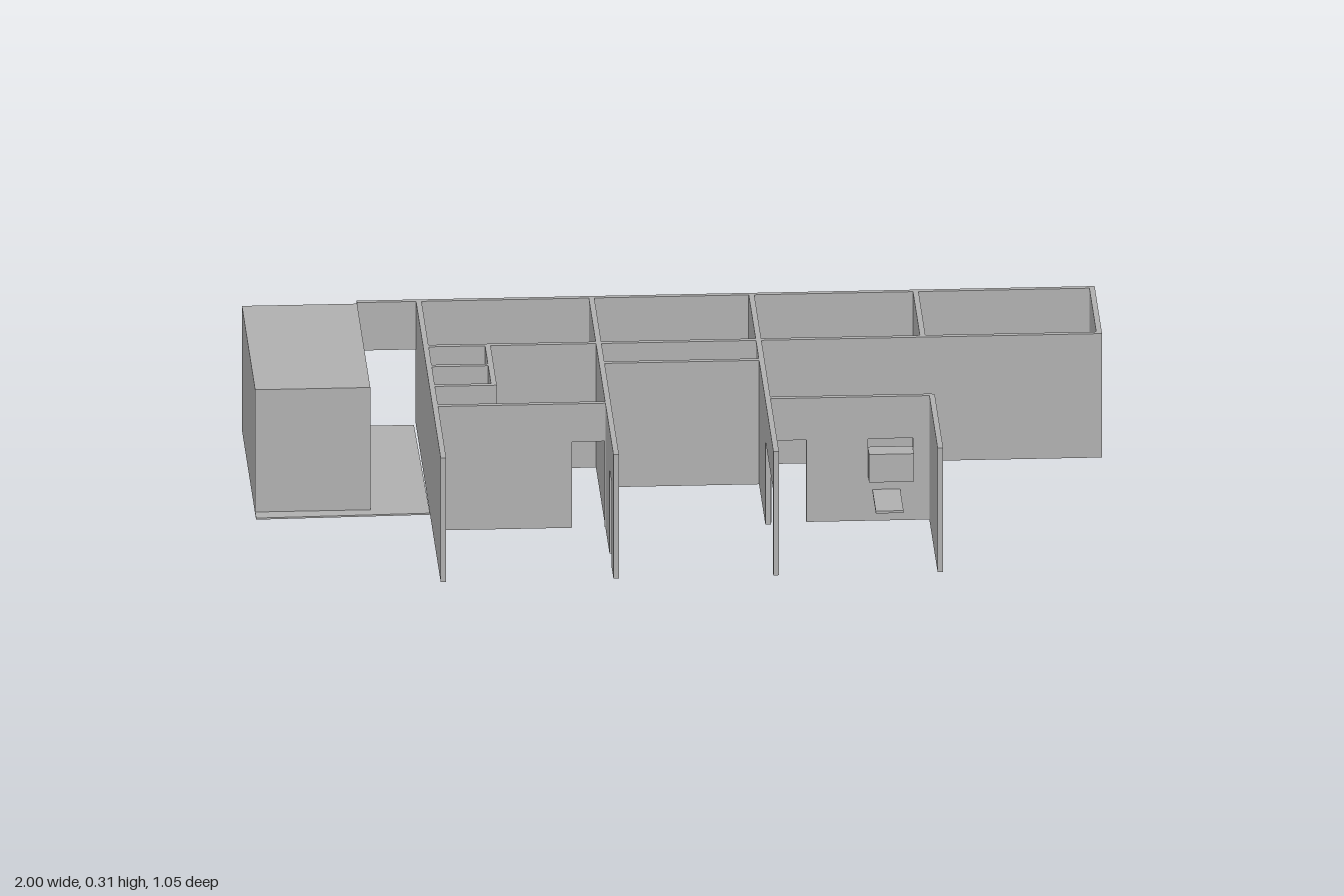
import * as THREE from 'three';

const H = 0.31;   // wall height
const T = 0.013;  // wall thickness
const DOOR = 0.21;

export function createModel() {
  const model = new THREE.Group();
  const plaster = new THREE.MeshStandardMaterial({ color: 0xb0b0b0 });
  plaster.name = 'plaster grey';

  const box = (name, x0, x1, y0, y1, z0, z1) => {
    const m = new THREE.Mesh(new THREE.BoxGeometry(x1 - x0, y1 - y0, z1 - z0), plaster);
    m.position.set((x0 + x1) / 2, (y0 + y1) / 2, (z0 + z1) / 2);
    m.name = name;
    model.add(m);
  };

  // Wall from a to b at fixed position p; openings are [from, to, bottom, top]
  const wall = (name, axis, p, a, b, openings = []) => {
    const s = new THREE.Shape();
    s.moveTo(a, 0);
    for (const [u0, u1, v0, v1] of openings) {
      if (v0 > 0) continue;
      s.lineTo(u0, 0); s.lineTo(u0, v1); s.lineTo(u1, v1); s.lineTo(u1, 0);
    }
    s.lineTo(b, 0); s.lineTo(b, H); s.lineTo(a, H);
    s.closePath();
    for (const [u0, u1, v0, v1] of openings) {
      if (v0 <= 0) continue;
      const hole = new THREE.Path();
      hole.moveTo(u0, v0); hole.lineTo(u0, v1); hole.lineTo(u1, v1); hole.lineTo(u1, v0);
      hole.closePath();
      s.holes.push(hole);
    }
    const g = new THREE.ExtrudeGeometry(s, { depth: T, bevelEnabled: false });
    g.translate(0, 0, -T / 2);
    if (axis === 'z') g.rotateY(-Math.PI / 2);
    g.translate(axis === 'z' ? p : 0, 0, axis === 'z' ? 0 : p);
    const m = new THREE.Mesh(g, plaster);
    m.name = name;
    model.add(m);
  };

  // Long walls of the rear room strip
  wall('backWall', 'x', -0.5185, -0.585, 1);
  box('backPassageLintel', -0.73, -0.585, 0.19, H, -0.525, -0.512);
  wall('corridorWall', 'x', -0.217, -0.585, 1, [[-0.1, 0, 0.18, 0.205]]);
  wall('endWall', 'z', 0.9935, -0.525, -0.211);

  // Cross walls
  wall('crossWallRight', 'z', -0.585, -0.525, 0.525);
  wall('crossWallMiddle', 'z', -0.18, -0.525, 0.525, [[0.36, 0.44, 0, DOOR]]);
  wall('crossWallLeft', 'z', 0.195, -0.525, 0.525, [[0.19, 0.505, 0, DOOR]]);
  wall('rearDivider', 'z', 0.58, -0.525, -0.217);
  wall('frontWing', 'z', 0.58, 0.165, 0.525);

  // Partitions of the front rooms
  wall('rightRoomWall', 'x', 0.178, -0.585, -0.18, [[-0.265, -0.188, 0, 0.215]]);
  wall('middleRoomWall', 'x', -0.085, -0.18, 0.195);
  wall('leftRoomWall', 'x', 0.17, 0.195, 0.58,
    [[0.203, 0.285, 0, 0.205], [0.43, 0.535, 0.18, 0.205]]);

  // Small cells
  wall('cellFront', 'z', -0.44, -0.217, 0.051, [[-0.19, -0.12, 0, DOOR], [-0.06, 0.01, 0, DOOR]]);
  for (const z of [-0.085, 0.045]) wall('cellDivider', 'x', z, -0.585, -0.44);

  // Service hatch, bench and fittings
  box('hatchCounter', 0.43, 0.535, 0.11, 0.18, 0.176, 0.215);
  box('benchTop', 0.44, 0.505, 0.072, 0.078, 0.176, 0.32);
  box('rearHatchShelf', -0.1, 0, 0.11, 0.18, -0.28, -0.24);
  box('counter', -0.175, 0.01, 0.05, 0.06, -0.212, -0.09);
  [[-0.212, -0.15, 0.05], [-0.15, -0.11, 0.09], [-0.11, -0.09, 0.13]].forEach(([z0, z1, h]) =>
    box('step', 0.115, 0.187, 0, h, z0, z1));

  // Annex block on its slightly skewed slab
  box('annex', -1, -0.73, 0.004, H, -0.505, 0.05);
  const slab = new THREE.Shape([[-1, 0.505], [-1, -0.09], [-0.592, -0.08], [-0.597, 0.505]]
    .map(([x, y]) => new THREE.Vector2(x, y)));
  const slabGeo = new THREE.ExtrudeGeometry(slab, { depth: 0.004, bevelEnabled: false });
  slabGeo.rotateX(-Math.PI / 2);
  const slabMesh = new THREE.Mesh(slabGeo, plaster);
  slabMesh.name = 'annexSlab';
  model.add(slabMesh);

  return model;
}
